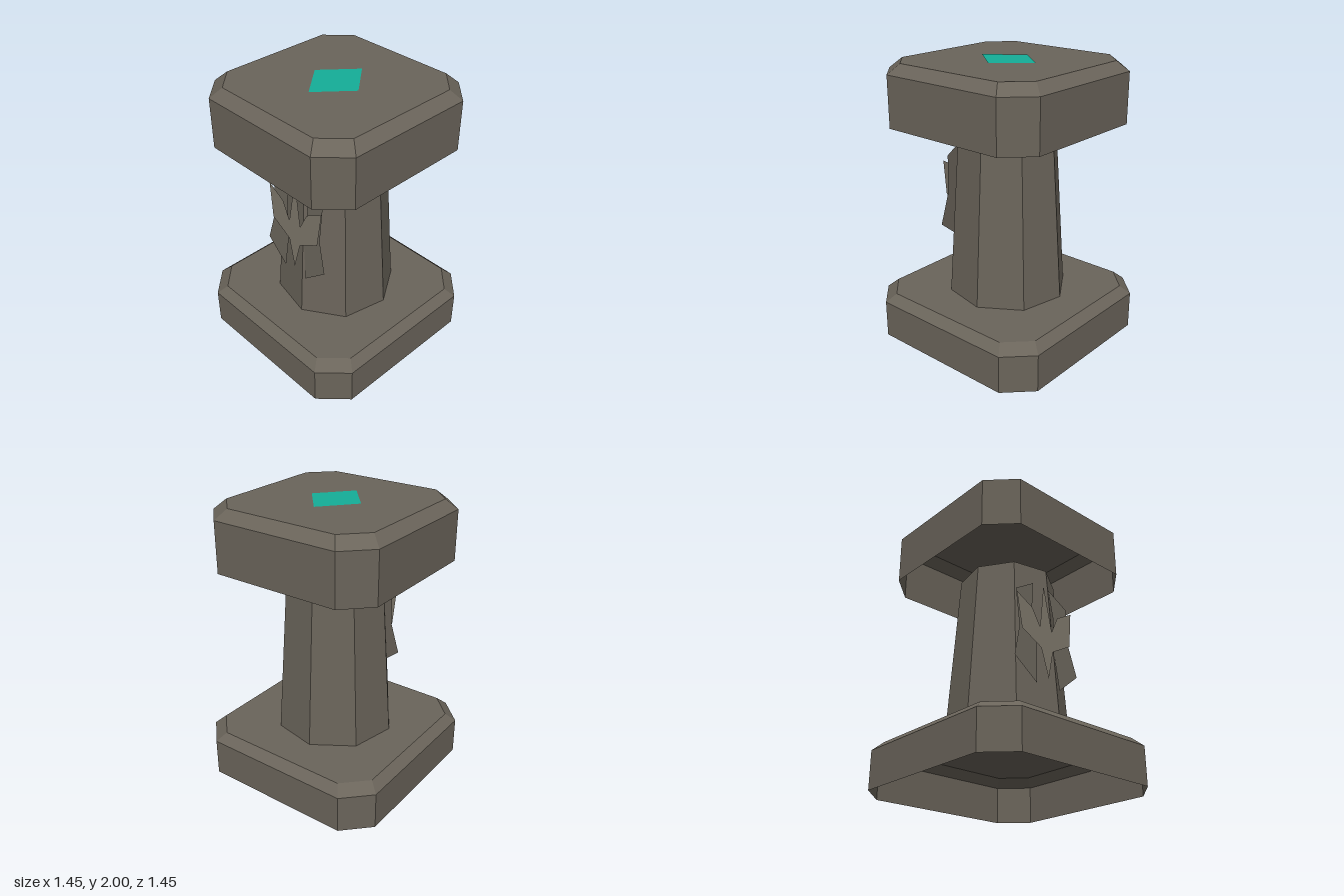
import * as THREE from 'three';

const stone = (color) => new THREE.MeshStandardMaterial({ color, flatShading: true, side: THREE.DoubleSide });
const STONE = stone(0x6a645a);
const PALE = stone(0x7d766a);
const TEAL = stone(0x14ae98);

function addMesh(parent, name, geometry, material) {
  const mesh = new THREE.Mesh(geometry, material);
  mesh.name = name;
  parent.add(mesh);
  return mesh;
}

// Square ring with cut corners: half = half width, cut = where the corner cut starts
function ring({ half: h, cut: c, y }) {
  return [[c, h], [h, c], [h, -c], [c, -h], [-c, -h], [-h, -c], [-h, c], [-c, h]].map(([x, z]) => [x, y, z]);
}

// Hollow slab, open underneath: walls between the rings and a lid on the last one
function slabGeometry(levels) {
  const rings = levels.map(ring);
  const pos = [];
  const top = rings[rings.length - 1];
  for (let i = 0; i < 8; i++) {
    const j = (i + 1) % 8;
    for (let k = 0; k < rings.length - 1; k++) {
      const [lo, hi] = [rings[k], rings[k + 1]];
      pos.push(...lo[i], ...lo[j], ...hi[j], ...lo[i], ...hi[j], ...hi[i]);
    }
    pos.push(0, top[0][1], 0, ...top[i], ...top[j]);
  }
  const geometry = new THREE.BufferGeometry();
  geometry.setAttribute('position', new THREE.Float32BufferAttribute(pos, 3));
  geometry.computeVertexNormals();
  return geometry;
}

// Flat plate drawn in x and y, leaning back by depth(y)
function plateGeometry(points, depth) {
  const geometry = new THREE.ShapeGeometry(new THREE.Shape(points.map(([x, y]) => new THREE.Vector2(x, y))));
  const p = geometry.attributes.position;
  for (let i = 0; i < p.count; i++) p.setZ(i, depth(p.getY(i)));
  geometry.computeVertexNormals();
  return geometry;
}

const mirrorX = (points) => points.map(([x, y]) => [-x, y]).reverse();

export function createModel() {
  const model = new THREE.Group();
  model.name = 'pedestal';

  // Base and cap slabs
  addMesh(model, 'base', slabGeometry([
    { half: 0.725, cut: 0.545, y: 0 },
    { half: 0.725, cut: 0.545, y: 0.27 },
    { half: 0.66, cut: 0.497, y: 0.33 },
  ]), STONE);
  addMesh(model, 'cap', slabGeometry([
    { half: 0.653, cut: 0.473, y: 1.57 },
    { half: 0.653, cut: 0.473, y: 1.93 },
    { half: 0.58, cut: 0.42, y: 2 },
  ]), STONE);

  // Tapered eight-sided column, turned slightly
  const column = new THREE.CylinderGeometry(0.346, 0.431, 1.24, 8, 1, true, THREE.MathUtils.degToRad(10.5));
  column.translate(0, 0.95, 0);
  addMesh(model, 'column', column, STONE);

  // Emblem on the front: two back plates and a pointed crest
  const emblem = new THREE.Group();
  emblem.name = 'emblem';
  model.add(emblem);

  const plate = [[0.105, 0.635], [0.29, 0.785], [0.23, 1.02], [0.243, 1.31], [0.075, 1.415], [0.1, 1.2], [0.08, 0.9]];
  const plateDepth = (y) => 0.42 - 0.0685 * (y - 0.33);
  addMesh(emblem, 'leftPlate', plateGeometry(plate, plateDepth), STONE);
  addMesh(emblem, 'rightPlate', plateGeometry(mirrorX(plate), plateDepth), STONE);

  const crestSide = [[0.055, 0.905], [0.225, 1.0], [0.26, 1.27], [0.12, 1.19], [0.055, 1.06]];
  const crest = [[0, 0.69], ...crestSide, [0, 1.41], ...mirrorX(crestSide)];
  addMesh(emblem, 'crest', plateGeometry(crest, (y) => 0.377 + 0.042 * (1.36 - y)), PALE);

  // Diamond inlay on the cap
  const diamond = plateGeometry([[0, -0.235], [0.2, 0], [0, 0.235], [-0.2, 0]], () => 0);
  diamond.rotateX(-Math.PI / 2).translate(0, 2.002, 0);
  addMesh(model, 'inlay', diamond, TEAL);

  return model;
}
